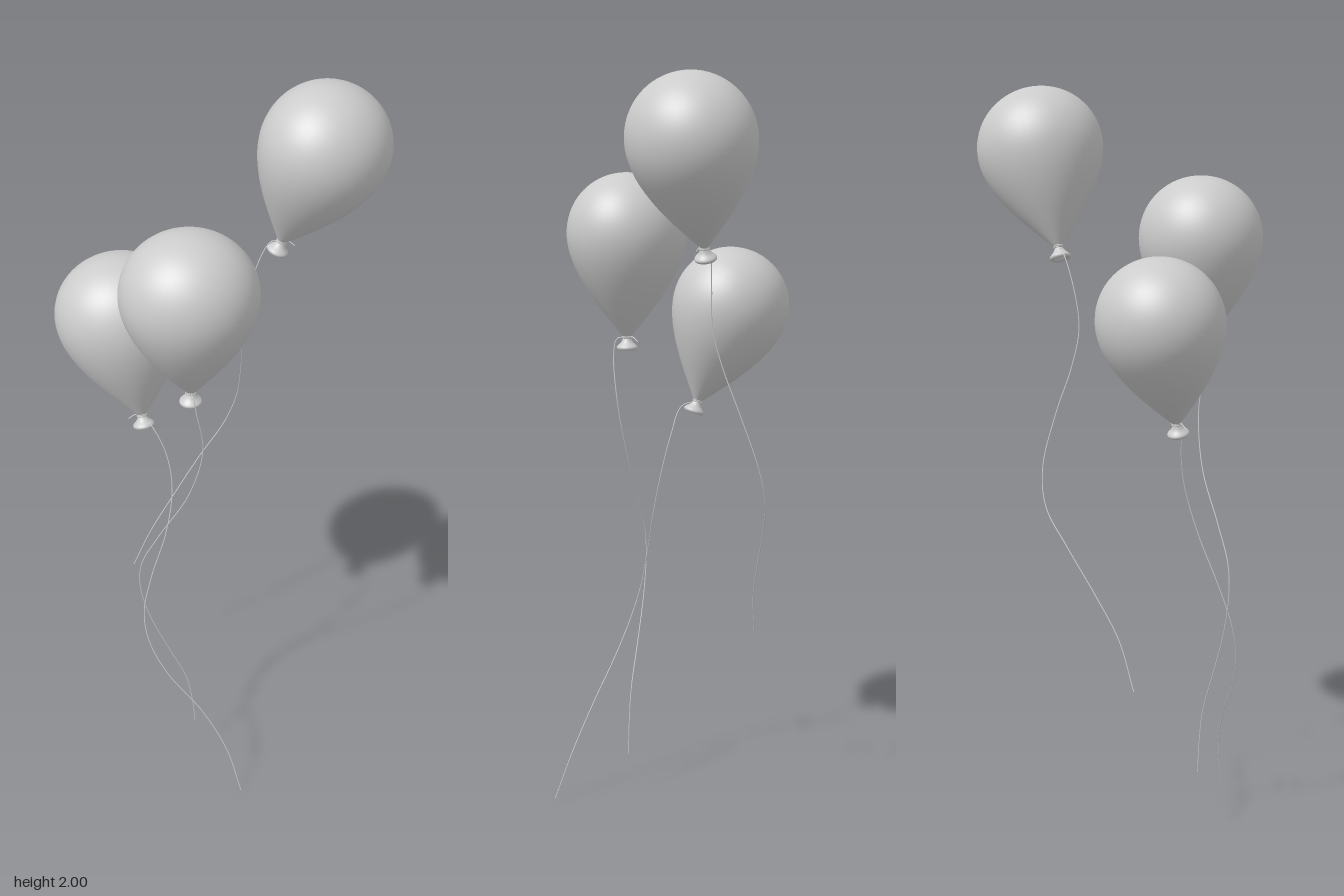
import * as THREE from 'three';

const V2 = (x, y) => new THREE.Vector2(x, y);
const material = new THREE.MeshStandardMaterial({ color: 0xcccccc, roughness: 0.5, side: THREE.DoubleSide });

function mesh(geometry, name) {
  const m = new THREE.Mesh(geometry, material);
  m.name = name;
  return m;
}

function thread(points, name, segments) {
  const curve = new THREE.CatmullRomCurve3(points.map(p => new THREE.Vector3(...p)));
  return mesh(new THREE.TubeGeometry(curve, segments, 0.0016, 6), name);
}

// Teardrop: tapered lower half, then a rounded dome
function skinGeometry() {
  const lower = new THREE.CubicBezierCurve(V2(0.011, 0.036), V2(0.068, 0.105), V2(0.172, 0.215), V2(0.172, 0.318));
  const dome = new THREE.CubicBezierCurve(V2(0.172, 0.318), V2(0.172, 0.412), V2(0.095, 0.482), V2(0, 0.482));
  const profile = [...lower.getPoints(24), ...dome.getPoints(20).slice(1)];
  return new THREE.LatheGeometry(profile, 48);
}

// Flared mouth hanging below the tied neck
function mouthGeometry() {
  const curve = new THREE.SplineCurve([
    V2(0.012, 0.04), V2(0.011, 0.034), V2(0.017, 0.022), V2(0.027, 0.012),
    V2(0.029, 0.006), V2(0.025, 0.001), V2(0.017, 0.004), V2(0.007, 0.014), V2(0, 0.016),
  ]);
  return new THREE.LatheGeometry(curve.getPoints(32).reverse(), 32);
}

function balloon({ name, base, axis, spin, stub, string }) {
  const group = new THREE.Group();
  group.name = name;

  const body = new THREE.Group();
  body.name = 'body';
  body.position.set(...base);
  const tilt = new THREE.Quaternion().setFromUnitVectors(
    new THREE.Vector3(0, 1, 0), new THREE.Vector3(...axis).normalize());
  const turn = new THREE.Quaternion().setFromAxisAngle(new THREE.Vector3(0, 1, 0), spin);
  body.quaternion.copy(tilt).multiply(turn);

  // The skin is slightly flattened front to back
  const skin = mesh(skinGeometry(), 'skin');
  skin.scale.z = 0.94;
  body.add(skin, mesh(mouthGeometry(), 'mouth'));

  // String wound twice round the neck
  for (const y of [0.034, 0.038]) {
    const wrap = mesh(new THREE.TorusGeometry(0.0125, 0.002, 6, 24), 'neckWrap');
    wrap.rotation.x = Math.PI / 2;
    wrap.position.y = y;
    body.add(wrap);
  }
  group.add(body);

  // Loose end of the knot
  const neck = new THREE.Vector3(0, 0.036, 0).applyQuaternion(body.quaternion).add(body.position);
  const along = f => [neck.x + stub[0] * f, neck.y + stub[1] * f + 0.006 * Math.sin(Math.PI * f), neck.z + stub[2] * f];
  group.add(thread([along(0), along(0.5), along(1)], 'looseEnd', 8));

  group.add(thread([neck.toArray(), ...string], 'string', 100));
  return group;
}

export function createModel() {
  const model = new THREE.Group();
  model.name = 'balloons';

  model.add(balloon({
    name: 'middleBalloon', base: [-0.075, 1.28, 0.148], axis: [0, 1, 0], spin: 0, stub: [0.01, -0.01, -0.035],
    string: [
      [-0.068, 1.312, 0.175], [-0.06, 1.27, 0.182], [-0.045, 1.14, 0.166], [-0.085, 0.98, 0.152],
      [-0.165, 0.84, 0.15], [-0.215, 0.74, 0.15], [-0.222, 0.66, 0.15], [-0.2, 0.55, 0.15],
      [-0.15, 0.42, 0.15], [-0.1, 0.3, 0.15], [-0.082, 0.2, 0.15], [-0.075, 0.11, 0.15],
    ],
  }));

  model.add(balloon({
    name: 'lowBalloon', base: [-0.203, 1.095, 0], axis: [-0.175, 0.942, -0.286], spin: 0, stub: [-0.035, -0.01, 0.005],
    string: [
      [-0.18, 1.115, 0.027], [-0.145, 1.04, 0.045], [-0.13, 0.94, 0.067], [-0.148, 0.81, 0.1],
      [-0.19, 0.68, 0.135], [-0.213, 0.57, 0.165], [-0.2, 0.48, 0.19], [-0.15, 0.38, 0.217],
      [-0.05, 0.255, 0.25], [0.02, 0.13, 0.285], [0.06, 0, 0.322],
    ],
  }));

  model.add(balloon({
    name: 'highBalloon', base: [0.145, 1.54, -0.155], axis: [0.358, 0.934, 0], spin: 0.78, stub: [0.033, -0.008, 0.01],
    string: [
      [0.13, 1.568, -0.16], [0.085, 1.47, -0.15], [0.063, 1.36, -0.146], [0.058, 1.26, -0.172],
      [0.058, 1.14, -0.22], [0.045, 1.0, -0.268], [0.01, 0.9, -0.278], [-0.06, 0.8, -0.252],
      [-0.14, 0.68, -0.212], [-0.205, 0.575, -0.182], [-0.26, 0.45, -0.17],
    ],
  }));

  return model;
}
